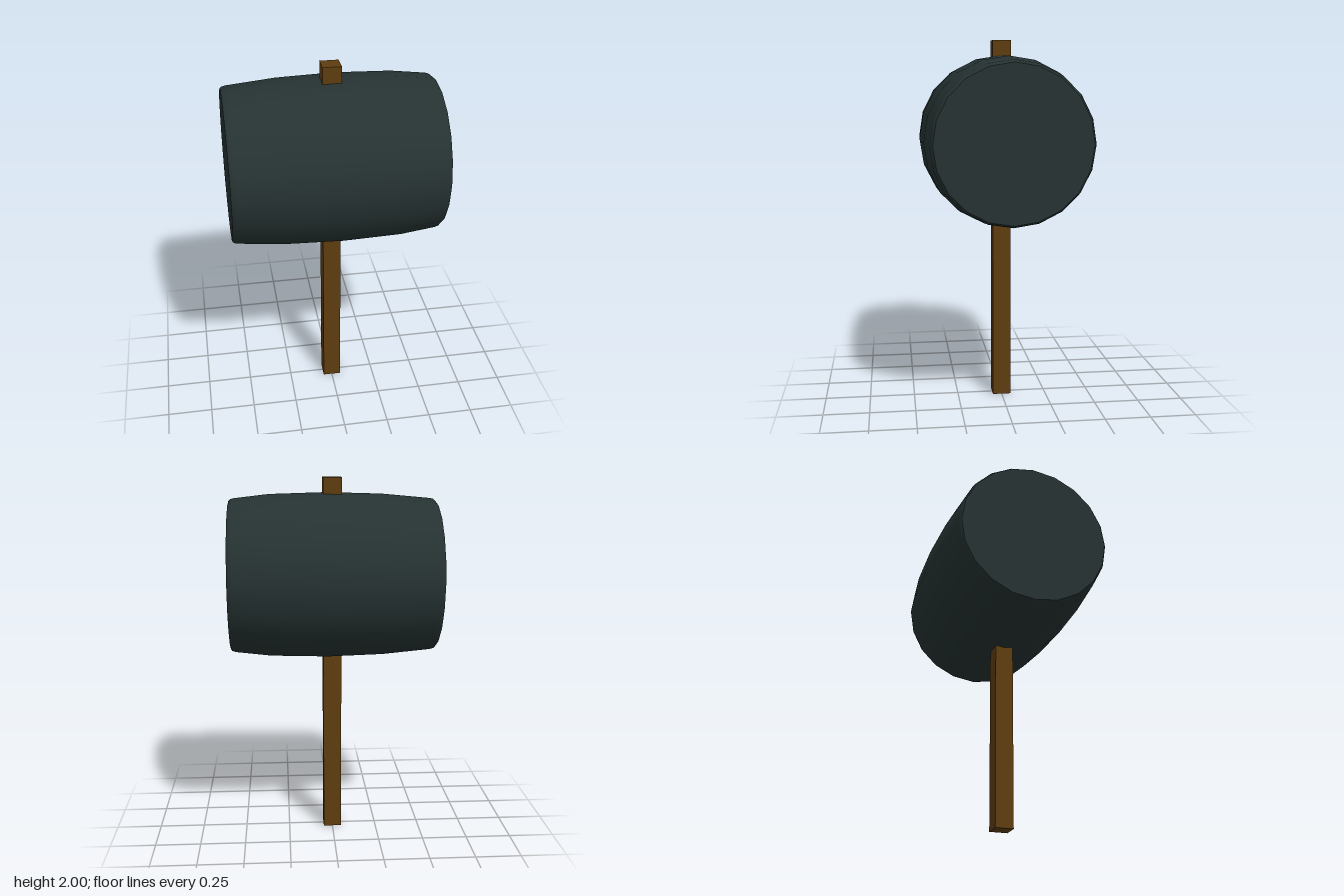
import * as THREE from 'three';

const SIDES = 20;
const HEAD_Y = 1.47;

// Barrel profile: [radius, position along x]
const PROFILE = [
  [0.405, -0.56], [0.412, -0.552], [0.417, -0.53], [0.441, -0.27], [0.45, 0.03],
  [0.441, 0.34], [0.419, 0.53], [0.413, 0.55], [0.405, 0.557],
];

export function createModel() {
  const model = new THREE.Group();
  model.name = 'mallet';

  const darkHead = new THREE.MeshStandardMaterial({ color: 0x263232 });
  darkHead.name = 'dark slate';
  const wood = new THREE.MeshStandardMaterial({ color: 0x5e3d10 });
  wood.name = 'brown wood';

  // Square handle running right through the head
  const handle = new THREE.Mesh(new THREE.BoxGeometry(0.1, 2, 0.1), wood);
  handle.name = 'handle';
  handle.position.y = 1;
  model.add(handle);

  // Bulging barrel head lying along x
  const head = new THREE.Group();
  head.name = 'head';
  head.position.y = HEAD_Y;
  model.add(head);

  const points = PROFILE.map(([r, x]) => new THREE.Vector2(r, x));
  const barrel = new THREE.Mesh(new THREE.LatheGeometry(points, SIDES), darkHead);
  barrel.name = 'barrel';
  barrel.rotation.z = -Math.PI / 2;
  head.add(barrel);

  // Flat striking faces
  for (const [side, [r, x]] of [[-1, PROFILE[0]], [1, PROFILE[PROFILE.length - 1]]]) {
    const face = new THREE.Mesh(new THREE.CircleGeometry(r, SIDES), darkHead);
    face.name = side > 0 ? 'leftStrikingFace' : 'rightStrikingFace';
    face.rotation.y = side * Math.PI / 2;
    face.position.x = x;
    head.add(face);
  }

  return model;
}
